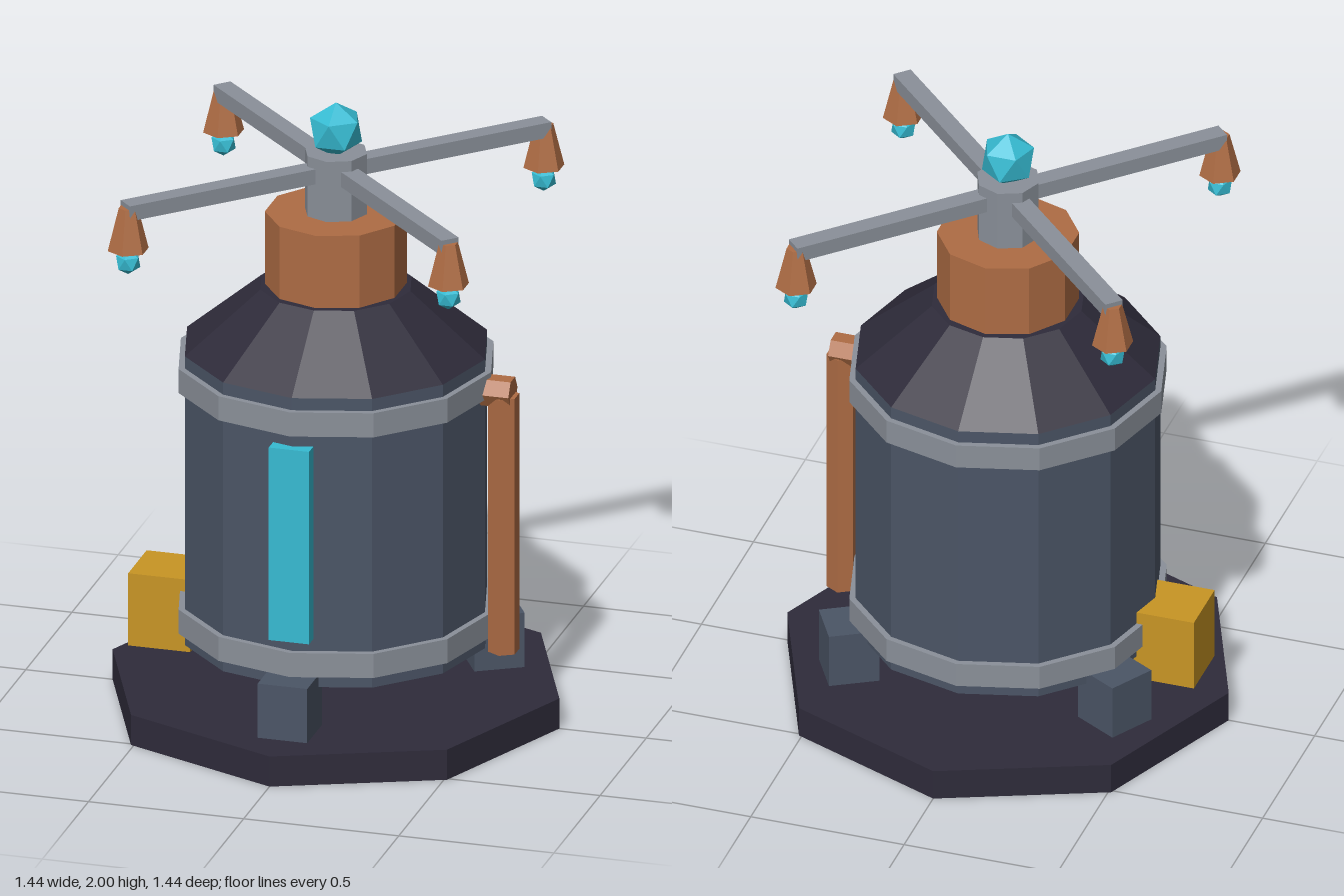
import * as THREE from 'three';

export function createModel() {
  const root = new THREE.Group();
  root.name = 'crystalBoiler';

  const mat = (name, color) => {
    const m = new THREE.MeshStandardMaterial({ color, flatShading: true });
    m.name = name;
    return m;
  };
  const darkIron = mat('darkIron', 0x2e2b3a);
  const slate = mat('slate', 0x4b5566);
  const steel = mat('steel', 0x8a9099);
  const copper = mat('copper', 0xae6c44);
  const crystalBlue = mat('crystalBlue', 0x36bbd2);
  const gold = mat('gold', 0xc89524);

  const add = (name, geo, material, x = 0, y = 0, z = 0, parent = root) => {
    const mesh = new THREE.Mesh(geo, material);
    mesh.name = name;
    mesh.position.set(x, y, z);
    parent.add(mesh);
    return mesh;
  };
  // Upright faceted drum between two heights
  const drum = (name, rTop, rBottom, y0, y1, sides, material, x = 0, z = 0) =>
    add(name, new THREE.CylinderGeometry(rTop, rBottom, y1 - y0, sides), material, x, (y0 + y1) / 2, z);
  // Icosahedron standing on a vertex
  const gem = (name, r, x, y, z) =>
    add(name, new THREE.IcosahedronGeometry(r, 0).rotateZ(0.5536).rotateY(Math.PI / 2), crystalBlue, x, y, z);

  // Base, tank and head
  drum('base', 0.72, 0.72, 0, 0.1, 8, darkIron);
  drum('tank', 0.48, 0.48, 0.24, 1.2, 12, slate);
  drum('lowerBand', 0.5, 0.5, 0.28, 0.36, 12, steel);
  drum('upperBand', 0.5, 0.5, 1.08, 1.16, 12, steel);
  drum('shoulder', 0.24, 0.48, 1.2, 1.4, 12, darkIron);
  drum('neck', 0.22, 0.22, 1.4, 1.64, 10, copper);
  drum('post', 0.1, 0.1, 1.64, 1.84, 8, steel);
  gem('topCrystal', 0.09, 0, 1.91, 0);

  // Three feet under the tank
  for (let i = 0; i < 3; i++) {
    const a = (i * Math.PI * 2) / 3;
    const foot = add('foot', new THREE.BoxGeometry(0.16, 0.18, 0.16), slate,
      Math.sin(a) * 0.5, 0.19, Math.cos(a) * 0.5);
    foot.rotation.y = a;
  }

  // Four diagonal arms, each with a hanging lamp
  for (let i = 0; i < 4; i++) {
    const a = Math.PI / 4 + (i * Math.PI) / 2;
    const sx = Math.sin(a), sz = Math.cos(a);
    const arm = add('arm', new THREE.BoxGeometry(0.06, 0.05, 0.7), steel, sx * 0.39, 1.78, sz * 0.39);
    arm.rotation.y = a;
    drum('lampShade', 0.03, 0.065, 1.65, 1.79, 6, copper, sx * 0.73, sz * 0.73);
    gem('lampCrystal', 0.042, sx * 0.73, 1.61, sz * 0.73);
  }

  // Window, control box and side pipe
  add('window', new THREE.BoxGeometry(0.13, 0.64, 0.06), crystalBlue, 0, 0.72, 0.48);
  add('controlBox', new THREE.BoxGeometry(0.2, 0.24, 0.2), gold, -0.54, 0.28, 0);
  drum('sidePipe', 0.05, 0.05, 0.24, 1.09, 6, copper, 0.54, 0);
  add('pipeElbow', new THREE.CylinderGeometry(0.05, 0.05, 0.13, 6).rotateZ(Math.PI / 2), copper, 0.505, 1.1, 0);

  return root;
}
